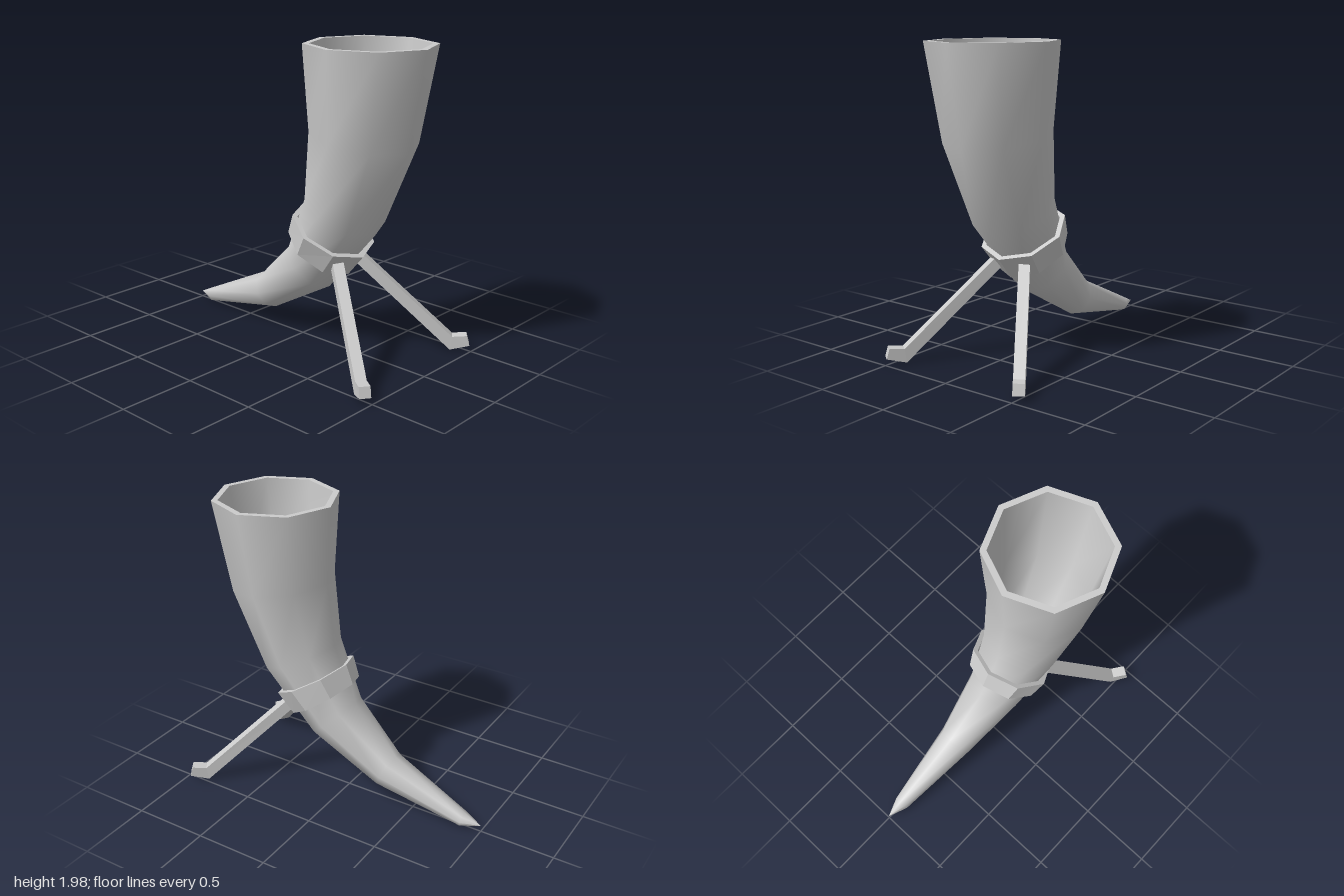
import * as THREE from 'three';

const SIDES = 8;
const V = (x, y, z) => new THREE.Vector3(x, y, z);

// Skin between closed loops of points; the outside follows the order of the loops
function loft(rings) {
  const n = rings[0].length, pos = [], index = [];
  rings.forEach(r => r.forEach(p => pos.push(p.x, p.y, p.z)));
  for (let k = 0; k < rings.length - 1; k++) {
    for (let i = 0; i < n; i++) {
      const j = (i + 1) % n;
      const a = k * n + i, b = k * n + j, c = a + n, d = b + n;
      index.push(a, c, b, b, c, d);
    }
  }
  const g = new THREE.BufferGeometry();
  g.setAttribute('position', new THREE.Float32BufferAttribute(pos, 3));
  g.setIndex(index);
  g.computeVertexNormals();
  return g;
}

// Tilted octagon from its front and back points (z, y) and half width
function octagon([fz, fy, bz, by, hw], scale = 1) {
  const cz = (fz + bz) / 2, cy = (fy + by) / 2;
  const vz = (fz - bz) / 2 * scale, vy = (fy - by) / 2 * scale;
  return Array.from({ length: SIDES }, (_, i) => {
    const a = i / SIDES * Math.PI * 2;
    return V(Math.sin(a) * hw * scale, cy + vy * Math.cos(a), cz + vz * Math.cos(a));
  });
}

// Square bar: each section has a centre and an up vector of half its thickness
function bar(sections, side, mirror) {
  const rings = sections.map(([c, up]) =>
    [[-1, 1], [1, 1], [1, -1], [-1, -1]].map(([s, u]) =>
      c.clone().addScaledVector(side, s).addScaledVector(up, u)));
  const cap = r => r.map(() => r.reduce((m, p) => m.add(p), V(0, 0, 0)).divideScalar(4));
  rings.unshift(cap(rings[0]));
  rings.push(cap(rings[rings.length - 1]));
  if (mirror) rings.forEach(r => { r.forEach(p => { p.x *= -1; }); r.reverse(); });
  return loft(rings);
}

export function createModel() {
  const root = new THREE.Group();
  root.name = 'drinkingHorn';
  const smooth = new THREE.MeshStandardMaterial({ color: 0xcccccc });
  const flat = new THREE.MeshStandardMaterial({ color: 0xcccccc, flatShading: true });
  const add = (name, geometry, material) => {
    const mesh = new THREE.Mesh(geometry, material);
    mesh.name = name;
    root.add(mesh);
  };

  // Horn sections from rim to tip: front z, front y, back z, back y, half width
  const sections = [
    [0.95, 1.98, 0.135, 1.985, 0.405],
    [0.835, 1.36, 0.165, 1.47, 0.335],
    [0.60, 0.815, 0.115, 1.04, 0.265],
    [0.235, 0.395, -0.045, 0.665, 0.195],
    [-0.25, 0.125, -0.36, 0.35, 0.125],
    [-0.86, 0.005, -0.88, 0.103, 0.053],
    [-1, 0.045, -1, 0.045, 0],
  ];
  add('hornOutside', loft(sections.map(s => octagon(s))), smooth);

  // Hollow inside, closed at the bottom, and the rim joining both walls
  const inner = sections.slice(0, 5).map((s, i) => octagon(s, i === 4 ? 0 : 0.9));
  add('hornInside', loft([...inner].reverse()), smooth);
  add('rim', loft([inner[0], octagon(sections[0])]), flat);

  // Band gripping the horn
  const top = [0.505, 0.65, 0.025, 0.93, 0.283];
  const bottom = [0.39, 0.515, -0.025, 0.80, 0.25];
  add('band', loft([
    octagon(top, 0.88), octagon(top), octagon(bottom), octagon(bottom, 0.88), octagon(top, 0.88),
  ]), flat);

  // Two legs with upturned feet
  const side = V(0.81, 0, -0.59).multiplyScalar(0.035);
  const leg = [
    [V(0.11, 0.605, 0.39), V(0.40, 0.73, 0.55).multiplyScalar(0.035)],
    [V(0.455, 0.055, 0.875), V(0.08, 0.97, 0.12).multiplyScalar(0.046)],
    [V(0.52, 0.075, 0.962), V(-0.15, 0.95, -0.22).multiplyScalar(0.035)],
  ];
  add('leftLeg', bar(leg, side, false), flat);
  add('rightLeg', bar(leg, side, true), flat);

  return root;
}
